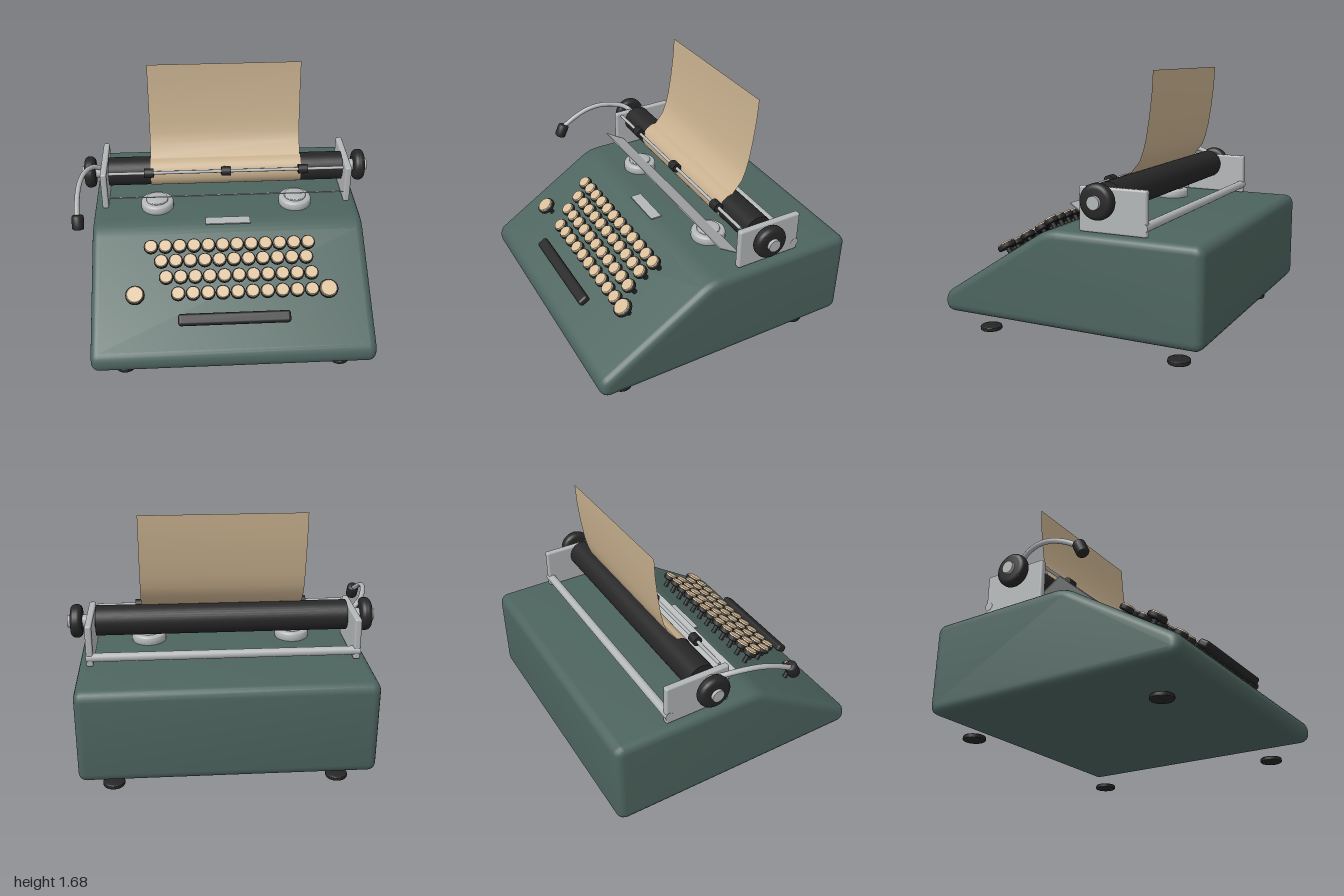
import * as THREE from 'three';
import { toCreasedNormals } from 'three/addons/utils/BufferGeometryUtils.js';
import { RoundedBoxGeometry } from 'three/addons/geometries/RoundedBoxGeometry.js';

const mat = (name, color) => Object.assign(new THREE.MeshStandardMaterial({ color }), { name });

export function createModel() {
  const model = new THREE.Group();
  model.name = 'typewriter';
  const green = mat('body green', 0x4d645e);
  const black = mat('black', 0x262626);
  const silver = mat('silver', 0xb4b7b8);
  const cream = mat('key cream', 0xd8bd98);
  const paperMat = mat('paper', 0xc8b08e);
  paperMat.side = THREE.DoubleSide;

  const add = (name, geo, material, x = 0, y = 0, z = 0, parent = model) => {
    const m = new THREE.Mesh(geo, material);
    m.name = name;
    m.position.set(x, y, z);
    parent.add(m);
    return m;
  };

  // Disc with rounded rims: radius r, height h, rim radius b, axis y
  const roundDisc = (r, h, b, sides = 32) => {
    const pts = [new THREE.Vector2(0, -h / 2)];
    for (const s of [-1, 1]) {
      for (let i = 0; i <= 5; i++) {
        const a = (s < 0 ? -1 + i / 5 : i / 5) * Math.PI / 2;
        pts.push(new THREE.Vector2(r - b + b * Math.cos(a), s * (h / 2 - b) + b * Math.sin(a)));
      }
    }
    pts.push(new THREE.Vector2(0, h / 2));
    return toCreasedNormals(new THREE.LatheGeometry(pts, sides), 0.7);
  };
  // Cylinder along x
  const rodX = (r, len, sides = 32) => new THREE.CylinderGeometry(r, r, len, sides).rotateZ(Math.PI / 2);

  // Body: side profile (z, y) with softened corners, extruded across x with a round bevel
  const corners = [[-0.832, 0.2], [0.832, 0.2], [0.832, 0.24], [0.105, 0.705], [-0.832, 0.705]]
    .map(p => new THREE.Vector2(...p));
  const soft = [0.012, 0.012, 0.02, 0.06, 0.012];
  const profile = new THREE.Shape();
  corners.forEach((c, i) => {
    const toward = q => c.clone().add(q.clone().sub(c).setLength(soft[i]));
    const a = toward(corners[(i + 4) % 5]), b = toward(corners[(i + 1) % 5]);
    if (i) profile.lineTo(a.x, a.y); else profile.moveTo(a.x, a.y);
    profile.quadraticCurveTo(c.x, c.y, b.x, b.y);
  });
  profile.closePath();
  const width = 1.825, bevel = 0.05;
  const body = new THREE.ExtrudeGeometry(profile, {
    depth: width - 2 * bevel, bevelSize: bevel, bevelThickness: bevel, bevelSegments: 5, curveSegments: 4,
  });
  body.translate(0, 0, bevel - width / 2).rotateY(-Math.PI / 2);
  add('body', toCreasedNormals(body, 0.6), green, 0.0125);

  // Feet
  for (const x of [-0.7, 0.727]) for (const z of [-0.665, 0.665])
    add('foot', roundDisc(0.07, 0.028, 0.008, 24), black, x, 0.014, z);

  // Keys: stem, dark cap and cream top, square to the sloping front
  const tilt = 0.57;
  const stemGeo = new THREE.CylinderGeometry(0.016, 0.016, 0.09, 12);
  const makeKey = (x, y, z, r) => {
    const key = new THREE.Group();
    key.name = 'key';
    key.position.set(x, y, z);
    key.rotation.x = tilt;
    add('keyStem', stemGeo, black, 0, -0.055, 0, key);
    add('keyCap', roundDisc(r, 0.034, 0.01, 20), black, 0, 0, 0, key);
    add('keyTop', new THREE.CylinderGeometry(r * 0.82, r * 0.88, 0.008, 20), cream, 0, 0.02, 0, key);
    model.add(key);
  };
  const rows = [ // count, first x, last x, y, z
    [12, -0.505, 0.525, 0.717, 0.318],
    [11, -0.44, 0.505, 0.662, 0.403],
    [11, -0.41, 0.53, 0.605, 0.498],
    [10, -0.335, 0.525, 0.545, 0.592],
  ];
  for (const [n, x0, x1, y, z] of rows)
    for (let i = 0; i < n; i++) makeKey(x0 + (x1 - x0) * i / (n - 1), y, z, 0.047);
  for (const x of [-0.61, 0.632]) makeKey(x, 0.545, 0.592, 0.062);

  // Space bar and badge plate
  add('spaceBar', new RoundedBoxGeometry(0.715, 0.05, 0.075, 3, 0.018), black, 0.018, 0.452, 0.737)
    .rotation.x = tilt;
  add('badgePlate', new THREE.BoxGeometry(0.3, 0.008, 0.076), silver, 0.01, 0.758, 0.102);

  // Ribbon spool covers
  for (const x of [-0.465, 0.487]) {
    add('spoolCover', roundDisc(0.112, 0.07, 0.022, 32), silver, x, 0.777, -0.1);
    add('spoolCoverTop', roundDisc(0.075, 0.03, 0.01, 32), silver, x, 0.812, -0.1);
  }

  // Carriage: end plates, rear rail, platen, knobs
  const cy = 0.957, cz = -0.247;
  for (const x of [-0.821, 0.848])
    add('carriageEndPlate', new RoundedBoxGeometry(0.043, 0.27, 0.435, 2, 0.012), silver, x, 0.892, -0.302);
  add('rearRail', rodX(0.028, 1.715, 20), silver, 0.013, 0.812, -0.498);
  add('platen', rodX(0.097, 1.61, 40), black, 0.013, cy, cz);
  add('platenShaft', rodX(0.04, 1.973, 24), silver, 0.0115, cy, cz);
  for (const x of [-0.918, 0.94])
    add('platenKnob', roundDisc(0.107, 0.074, 0.03, 32).rotateZ(Math.PI / 2), black, x, cy, cz);

  // Sloping paper table in front of the platen
  add('paperTable', new THREE.BoxGeometry(1.59, 0.006, 0.165), silver, 0.008, 0.859, -0.058)
    .rotation.x = -0.56;

  // Paper bail with three rollers
  add('paperBail', rodX(0.011, 1.6, 12), silver, 0.013, 1.013, -0.12);
  for (const x of [-0.513, 0.01, 0.535])
    add('bailRoller', rodX(0.032, 0.064, 20), black, x, 1.013, -0.12);

  // Paper: wraps the front of the platen, then rises behind it
  const path = [];
  for (let i = 0; i <= 16; i++) {
    const a = -1.2 + (1.2 + Math.PI / 2) * i / 16;
    path.push([cy + 0.1 * Math.sin(a), cz + 0.1 * Math.cos(a)]);
  }
  path.push([1.135, -0.31], [1.2, -0.334], [1.28, -0.354], [1.41, -0.374], [1.55, -0.39], [1.68, -0.397]);
  const paper = new THREE.PlaneGeometry(1.03, 1, 1, path.length - 1);
  const pos = paper.attributes.position;
  for (let i = 0; i < pos.count; i++) {
    const [y, z] = path[path.length - 1 - Math.floor(i / 2)];
    pos.setXYZ(i, pos.getX(i), y, z);
  }
  paper.computeVertexNormals();
  add('paper', paper, paperMat, 0.013);

  // Carriage return lever with its grip
  const lever = new THREE.CatmullRomCurve3([
    [-0.83, 0.985, -0.245], [-0.895, 1.03, -0.19], [-0.945, 1.055, -0.06],
    [-0.965, 1.043, 0.06], [-0.97, 1.0, 0.175], [-0.965, 0.935, 0.29],
  ].map(p => new THREE.Vector3(...p)));
  add('returnLever', new THREE.TubeGeometry(lever, 32, 0.017, 12), silver);
  const grip = add('leverGrip', roundDisc(0.039, 0.096, 0.015, 20), black, -0.961, 0.918, 0.296);
  grip.rotation.x = Math.PI - 0.45;

  return model;
}
